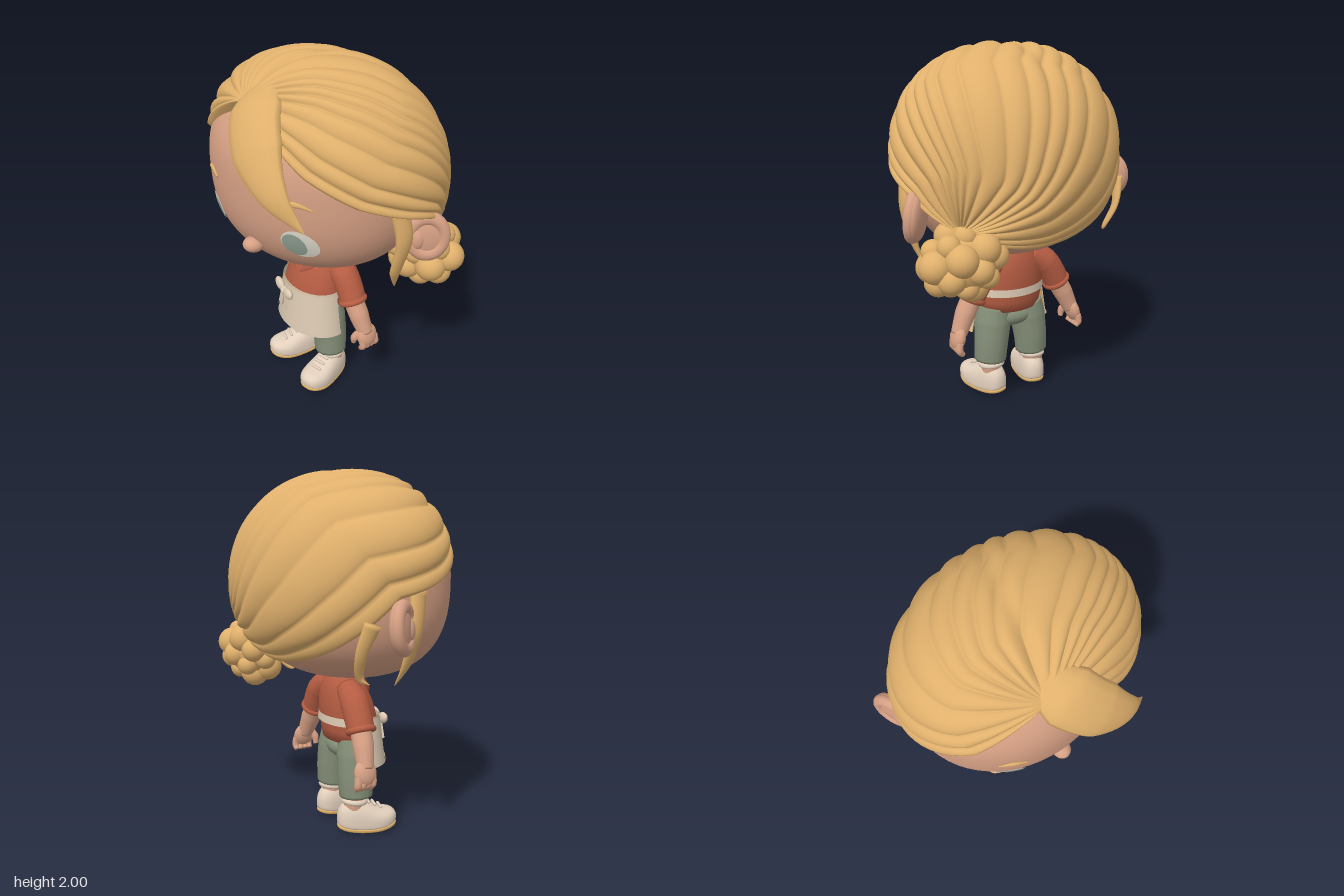
import * as THREE from 'three';
import { mergeVertices } from 'three/addons/utils/BufferGeometryUtils.js';

const V = (x, y, z) => new THREE.Vector3(x, y, z);
const { lerp, smoothstep } = THREE.MathUtils;
const paint = (name, color, side = THREE.FrontSide) => {
  const m = new THREE.MeshStandardMaterial({ color, side });
  m.name = name;
  return m;
};

// Smooth surface from a rule fn(u, v), u and v in 0..1
function grid(nu, nv, fn) {
  const pos = [], idx = [];
  for (let i = 0; i <= nu; i++) for (let j = 0; j <= nv; j++) pos.push(...fn(i / nu, j / nv).toArray());
  for (let i = 0; i < nu; i++) for (let j = 0; j < nv; j++) {
    const a = i * (nv + 1) + j, b = a + nv + 1;
    idx.push(a, b, a + 1, b, b + 1, a + 1);
  }
  const g = new THREE.BufferGeometry();
  g.setAttribute('position', new THREE.Float32BufferAttribute(pos, 3));
  g.setIndex(idx);
  return smooth(g);
}
function smooth(g) {
  g.deleteAttribute('uv');
  g.deleteAttribute('normal');
  g = mergeVertices(g, 1e-5);
  g.computeVertexNormals();
  return g;
}
// Move every vertex by a rule
function shape(g, fn) {
  const p = g.attributes.position, v = V(0, 0, 0);
  for (let i = 0; i < p.count; i++) {
    fn(v.fromBufferAttribute(p, i));
    p.setXYZ(i, v.x, v.y, v.z);
  }
  return smooth(g);
}
// Tapered limb or hair lock: oval sections along a curve, flat side facing away from a centre
function loft(points, widths, flat, centre, n = 24) {
  const curve = new THREE.CatmullRomCurve3(points.map(p => V(...p)));
  return grid(n + 2, 14, (u, v) => {
    const k = Math.round(u * (n + 2)), t = Math.min(Math.max((k - 1) / n, 0), 1);
    const f = t * (widths.length - 1), i = Math.min(Math.floor(f), widths.length - 2);
    const w = k === 0 || k === n + 2 ? 0 : lerp(widths[i], widths[i + 1], f - i);
    const p = curve.getPoint(t), T = curve.getTangent(t);
    const N = p.clone().sub(centre).addScaledVector(T, -p.clone().sub(centre).dot(T)).normalize();
    const S = T.clone().cross(N), a = (v % 1) * Math.PI * 2;
    return p.addScaledVector(S, w * Math.cos(a)).addScaledVector(N, w * flat * Math.sin(a));
  });
}

// Rounded head form; the slant turns the head slightly to its left, the lean pushes the crown forward
const SLANT = 0.1;
function onForm(v, f) {
  const up = v.y > 0, p = up ? f.pUp : f.pDown;
  const s = Math.pow(Math.hypot(v.x, v.z) ** p + Math.abs(v.y) ** p, -1 / p);
  const z = f.c.z + v.z * s * f.rz;
  return V(f.c.x + v.x * s * f.rx + SLANT * z - f.lean * Math.max(0, v.y), f.c.y + v.y * s * (up ? f.up : f.down), z);
}
const SKULL = { c: V(-0.02, 1.42, 0), rx: 0.51, rz: 0.59, up: 0.46, down: 0.53, pUp: 2.4, pDown: 2.6, lean: 0 };
const HAIR = { c: V(0.015, 1.42, 0.03), rx: 0.55, rz: 0.67, up: 0.585, down: 0.51, pUp: 2.2, pDown: 2.5, lean: 0.045 };
// Front face surface at a given height and width
function faceX(y, z) {
  const dy = y - SKULL.c.y, p = dy > 0 ? SKULL.pUp : SKULL.pDown;
  const R = Math.pow(1 - Math.abs(dy / (dy > 0 ? SKULL.up : SKULL.down)) ** p, 1 / p);
  return SKULL.c.x - SKULL.rx * Math.sqrt(Math.max(0, R * R - (z / SKULL.rz) ** 2)) + SLANT * z;
}

// Combed hair: strands fan from the parting to the bun, between two hairlines that frame the face
const LEFT_LINE = [[-0.36, 1.57, 0.38], [-0.2, 1.44, 0.56], [0, 1.37, 0.66], [0.2, 1.3, 0.67], [0.28, 1.23, 0.62]];
const RIGHT_LINE = [[-0.4, 1.57, -0.3], [-0.24, 1.43, -0.48], [0, 1.35, -0.61], [0.2, 1.13, -0.56], [0.36, 0.97, -0.25], [0.4, 0.95, 0.08]];
function hairGeometry() {
  const dir = (x, y, z) => {
    const d = V(x - SLANT * z, y, z).sub(HAIR.c);
    return d.set(d.x / HAIR.rx, d.y / (d.y > 0 ? HAIR.up : HAIR.down), d.z / HAIR.rz).normalize();
  };
  const part = dir(-0.37, 1.81, 0), bun = dir(0.36, 1.16, 0.46);
  const e1 = part.clone().addScaledVector(bun, -part.dot(bun)).normalize(), e2 = bun.clone().cross(e1);
  const flat = v => [v.dot(e1) / (1 - v.dot(bun)), v.dot(e2) / (1 - v.dot(bun))];
  const c = flat(part)[0];
  const polar = p => { const [x, y] = flat(dir(...p)); return [Math.hypot(x - c, y), Math.atan2(y, x - c)]; };
  const back = polar([0.5, 1.6, 0])[1];
  // Hairline as angle against distance along the strands
  const line = pts => pts.map(p => {
    const [r, a] = polar(p), d = a - back;
    return [r / (r + 0.9), Math.atan2(Math.sin(d), Math.cos(d))];
  }).sort((a, b) => a[0] - b[0]);
  const at = (l, k) => {
    const i = l.findIndex(p => p[0] > k);
    if (i === 0) return l[0][1];
    if (i < 0) return l[l.length - 1][1];
    return lerp(l[i - 1][1], l[i][1], (k - l[i - 1][0]) / (l[i][0] - l[i - 1][0]));
  };
  const left = line(LEFT_LINE), right = line(RIGHT_LINE), strands = 17;
  return grid(strands * 12, 56, (u, t) => {
    const k = t * 0.965, r = 0.9 * k / (1 - k) + 1e-3, a = back + lerp(at(left, k), at(right, k), u);
    const X = c + r * Math.cos(a), Y = r * Math.sin(a), d = X * X + Y * Y;
    const v = bun.clone().multiplyScalar(d - 1).addScaledVector(e1, 2 * X).addScaledVector(e2, 2 * Y).divideScalar(d + 1);
    const q = u * strands + 0.35 * Math.sin(u * Math.PI * 6), edge = Math.min(q, strands - q);
    let s = 1 - 0.035 * smoothstep(k, 0.02, 0.2) * (1 - Math.abs(Math.sin(Math.PI * q)) ** 0.6);
    if (edge < 0.3) s -= 0.09 * (1 - edge / 0.3);
    if (v.y > 0.4) s -= 0.05 * Math.exp(-((v.z + 0.06) ** 2) / 0.004) * (v.y - 0.4);
    return onForm(v, HAIR).sub(HAIR.c).multiplyScalar(s).add(HAIR.c);
  });
}

export function createModel() {
  const M = {
    hair: paint('golden hair', 0xe0b06c, THREE.DoubleSide),
    skin: paint('skin', 0xd6a084),
    shirt: paint('rust shirt', 0xb65d43),
    apron: paint('cream apron', 0xdccab3, THREE.DoubleSide),
    pants: paint('sage trousers', 0x858f78),
    shoe: paint('pale shoe', 0xe2cfbc),
    tan: paint('tan sole and lining', 0xdfb066, THREE.DoubleSide),
    white: paint('eye white', 0xe2ddd0, THREE.DoubleSide),
    iris: paint('grey green iris', 0x93a395, THREE.DoubleSide),
  };
  const model = new THREE.Group();
  const add = (name, geo, mat, pos = [0, 0, 0], scale = [1, 1, 1], rot = [0, 0, 0], parent = model) => {
    const m = new THREE.Mesh(geo, mat);
    m.name = name;
    m.position.set(...pos);
    m.scale.set(...scale);
    m.rotation.set(...rot);
    parent.add(m);
    return m;
  };
  const ball = new THREE.SphereGeometry(1, 24, 16);
  const headC = V(0.03, 1.42, 0.03);

  // Head and nose
  add('head', shape(new THREE.SphereGeometry(1, 64, 48), v => v.copy(onForm(v.clone(), SKULL))), M.skin);
  add('nose', ball, M.skin, [-0.472, 1.1, 0.09], [0.058, 0.042, 0.05], [0, 0, -0.2]);

  // Eyes and brows lie on the face
  const patch = (y, z, ry, rz, lift) => shape(new THREE.RingGeometry(0.001, 1, 32, 6), v => {
    const py = y + v.y * ry, pz = z + v.x * rz;
    v.set(faceX(py, pz) - lift, py, pz);
  });
  for (const s of [1, -1]) {
    const side = s > 0 ? 'left' : 'right', z = 0.075 + s * 0.28;
    add(side + 'Eye', patch(1.2, z, 0.083, 0.075, 0.005), M.white);
    add(side + 'Iris', patch(1.195, z - s * 0.018, 0.068, 0.05, 0.009), M.iris);
    const brow = [-0.07, 0, 0.07].map((d, i) => [faceX(1.41, z + s * d) - 0.004, 1.41 + [0, 0.022, 0][i], z + s * d]);
    add(side + 'Brow', loft(brow, [0.008, 0.016, 0.004], 0.6, headC, 12), M.hair);
  }

  // Ears: cupped disc with a soft raised rim
  for (const s of [1, -1]) {
    const ear = new THREE.Group();
    ear.name = s > 0 ? 'leftEar' : 'rightEar';
    add('earBase', ball, M.skin, [0, 0, 0], [0.112, 0.13, 0.045], [0, 0, 0], ear);
    add('earRim', new THREE.TorusGeometry(0.085, 0.032, 14, 32), M.skin, [0, 0, 0.016 * s], [1, 1.17, 1], [0, 0, 0], ear);
    add('earFold', ball, M.skin, [-0.05, -0.01, 0.025 * s], [0.04, 0.06, 0.03], [0, 0, 0], ear);
    ear.position.set(s > 0 ? 0.2 : 0.03, s > 0 ? 1.2 : 1.23, s * 0.635);
    ear.rotation.set(-0.1 * s, -0.65 * s, 0);
    model.add(ear);
  }

  // Hair, swept fringe and loose wisps
  add('combedHair', hairGeometry(), M.hair);
  add('fringe', loft([[-0.26, 1.9, -0.02], [-0.42, 1.81, 0.09], [-0.5, 1.67, 0.23], [-0.515, 1.52, 0.39], [-0.45, 1.38, 0.52]],
    [0.07, 0.15, 0.14, 0.075, 0.005], 0.38, headC, 36), M.hair);
  const wisps = [
    ['leftSideLock', [[0.02, 1.4, 0.62], [0.05, 1.22, 0.64], [0.045, 1.02, 0.6], [0.08, 0.89, 0.56]], [0.05, 0.05, 0.035, 0.004]],
    ['rightSideLock', [[-0.1, 1.4, -0.59], [-0.07, 1.2, -0.61], [-0.06, 1.04, -0.56], [-0.03, 0.92, -0.5]], [0.05, 0.045, 0.03, 0.004]],
    ['rightEarWisp', [[0.16, 1.25, -0.6], [0.2, 1.1, -0.56], [0.17, 0.97, -0.51], [0.14, 0.95, -0.54]], [0.045, 0.03, 0.02, 0.003]],
    ['napeWisp', [[0.26, 1.05, 0.3], [0.25, 0.95, 0.27], [0.2, 0.9, 0.25], [0.16, 0.91, 0.24]], [0.04, 0.03, 0.02, 0.003]],
  ];
  for (const [name, pts, w] of wisps) add(name, loft(pts, w, 0.55, headC), M.hair);

  // Bun made of clustered curls
  const bun = new THREE.Group();
  bun.name = 'bun';
  bun.position.set(0.35, 0.99, 0.47);
  add('bunCore', ball, M.hair, [0, 0, 0], [0.15, 0.16, 0.18], [0, 0, 0], bun);
  for (let i = 0; i < 24; i++) {
    const y = 1 - (i + 0.5) / 12, r = Math.sqrt(1 - y * y), a = i * 2.39996, k = 0.06 + 0.011 * (i % 3);
    add('curl', ball, M.hair, [r * Math.cos(a) * 0.12, y * 0.14, r * Math.sin(a) * 0.165], [k, k, k], [0, 0, 0], bun);
  }
  model.add(bun);

  // Torso leaning back, collar and neck
  const torso = [[0.02, 0.52], [0.185, 0.52], [0.2, 0.58], [0.2, 0.66], [0.185, 0.75], [0.155, 0.83], [0.1, 0.9], [0.02, 0.93]];
  add('shirt', shape(new THREE.LatheGeometry(torso.map(p => new THREE.Vector2(...p)), 40),
    v => { v.x = v.x * 0.75 - 0.045 + 0.17 * Math.max(0, v.y - 0.6); }), M.shirt);
  add('neck', new THREE.CylinderGeometry(0.07, 0.08, 0.14, 24), M.skin, [0, 0.9, 0]);
  for (const s of [1, -1]) {
    add('collar', loft([[0.0, 0.9, s * 0.07], [-0.06, 0.88, s * 0.085], [-0.12, 0.82, s * 0.07], [-0.155, 0.76, s * 0.025]],
      [0.02, 0.03, 0.03, 0.005], 0.4, V(0, 0.75, 0)), M.shirt);
  }

  // Arms, legs and shoes, mirrored
  const bodyC = V(-0.5, 0.6, 0);
  const pow = (a, e) => Math.sign(a) * Math.abs(a) ** e;
  // Rounded shoe volume with a taller heel and slightly lifted ends
  const shoeForm = (toeTop, heelTop, bottom, w) => shape(new THREE.SphereGeometry(1, 36, 24), v => {
    const x = pow(v.x, 0.8), heel = smoothstep(x, -0.6, 0.5);
    const y = v.y > 0 ? pow(v.y, 0.8) * lerp(toeTop, heelTop, heel) : pow(v.y, 0.5) * bottom;
    v.set(x * 0.172, y + 0.02 * x * x, pow(v.z, 0.8) * (w - 0.014 * heel));
  });
  const upper = shoeForm(0.075, 0.14, 0.04, 0.094), sole = shoeForm(0.015, 0.015, 0.022, 0.092);
  for (const s of [1, -1]) {
    const side = s > 0 ? 'left' : 'right';
    const limb = (name, pts, w, mat) => add(side + name, loft(pts.map(([x, y, z]) => [x, y, z * s]), w, 1, bodyC), mat);
    limb('Sleeve', [[0.02, 0.83, 0.1], [0.03, 0.77, 0.195], [0.035, 0.69, 0.25], [0.035, 0.63, 0.28]], [0.065, 0.08, 0.077, 0.075], M.shirt);
    const cuff = add(side + 'Cuff', new THREE.TorusGeometry(0.066, 0.018, 12, 28), M.shirt, [0.035, 0.635, 0.278 * s]);
    cuff.lookAt(0.04, 0.5, 0.345 * s);
    limb('Forearm', [[0.035, 0.66, 0.265], [0.045, 0.56, 0.32], [0.06, 0.45, 0.37]], [0.058, 0.058, 0.045], M.skin);
    add(side + 'Palm', ball, M.skin, [0.065, 0.435, 0.378 * s], [0.064, 0.072, 0.038], [0.25 * -s, 0, 0]);
    for (let i = 0; i < 4; i++) {
      const x = 0.025 + i * 0.029;
      limb('Finger', [[x, 0.42, 0.387], [x + 0.004, 0.375, 0.392], [x + 0.004, 0.348, 0.372]], [0.02, 0.021, 0.014], M.skin);
    }
    limb('Thumb', [[0.03, 0.46, 0.365], [0.005, 0.42, 0.345], [0.005, 0.38, 0.335]], [0.025, 0.023, 0.014], M.skin);

    limb('TrouserLeg', [[-0.03, 0.53, 0.1], [-0.025, 0.44, 0.115], [-0.015, 0.32, 0.13], [-0.015, 0.21, 0.138]],
      [0.1, 0.108, 0.1, 0.094], M.pants);
    add(side + 'Ankle', new THREE.CylinderGeometry(0.06, 0.06, 0.1, 20), M.skin, [0, 0.18, s * 0.14]);

    const foot = new THREE.Group();
    foot.name = side + 'Shoe';
    foot.position.set(-0.075, 0, s * 0.155);
    foot.rotation.y = 0.24 * s;
    add('upper', upper, M.shoe, [0, 0.052, 0], [1, 1, 1], [0, 0, 0], foot);
    add('collarRim', new THREE.TorusGeometry(0.062, 0.016, 10, 28), M.shoe, [0.075, 0.185, 0], [1, 1, 1], [Math.PI / 2, 0.12, 0], foot);
    add('sole', sole, M.tan, [0, 0.022, 0], [1, 1, 1], [0, 0, 0], foot);
    for (let i = 0; i < 3; i++) {
      add('lace', new THREE.CapsuleGeometry(0.009, 0.06, 4, 8), M.shoe, [-0.075 + i * 0.035, 0.137 + i * 0.018, 0], [1, 1, 1], [Math.PI / 2, 0, 0], foot);
    }
    model.add(foot);
  }
  add('trouserSeat', ball, M.pants, [-0.035, 0.47, 0], [0.115, 0.075, 0.18]);

  // Wrapped apron with tan lining, waist tie and bow
  const wrap = (top, bottom, h) => new THREE.CylinderGeometry(top, bottom, h, 40, 3, true, Math.PI * 1.5 - 1.68, 3.36);
  add('apronSkirt', wrap(0.212, 0.252, 0.265), M.apron, [-0.045, 0.528, 0], [0.75, 1, 1]);
  add('apronLining', wrap(0.206, 0.245, 0.262), M.tan, [-0.043, 0.525, 0], [0.75, 1, 1]);
  add('apronHem', wrap(0.254, 0.257, 0.025), M.apron, [-0.045, 0.41, 0], [0.75, 1, 1]);
  add('waistTie', new THREE.CylinderGeometry(0.207, 0.21, 0.045, 40, 1, true), M.apron, [-0.038, 0.645, 0], [0.76, 1, 1]);
  const bow = new THREE.Group();
  bow.name = 'apronBow';
  bow.position.set(-0.208, 0.61, -0.04);
  bow.rotation.y = -0.15;
  bow.scale.set(1.1, 1.25, 1.25);
  add('knot', ball, M.apron, [-0.01, 0, 0], [0.022, 0.022, 0.022], [0, 0, 0], bow);
  for (const s of [1, -1]) {
    add('loop', ball, M.apron, [-0.012, 0.012, s * 0.045], [0.02, 0.026, 0.04], [0.25 * -s, 0, 0], bow);
    add('tail', new THREE.BoxGeometry(0.012, 0.09, 0.032), M.apron, [-0.012, -0.045, s * 0.022], [1, 1, 1], [0.25 * -s, 0, -0.08], bow);
  }
  model.add(bow);
  return model;
}
